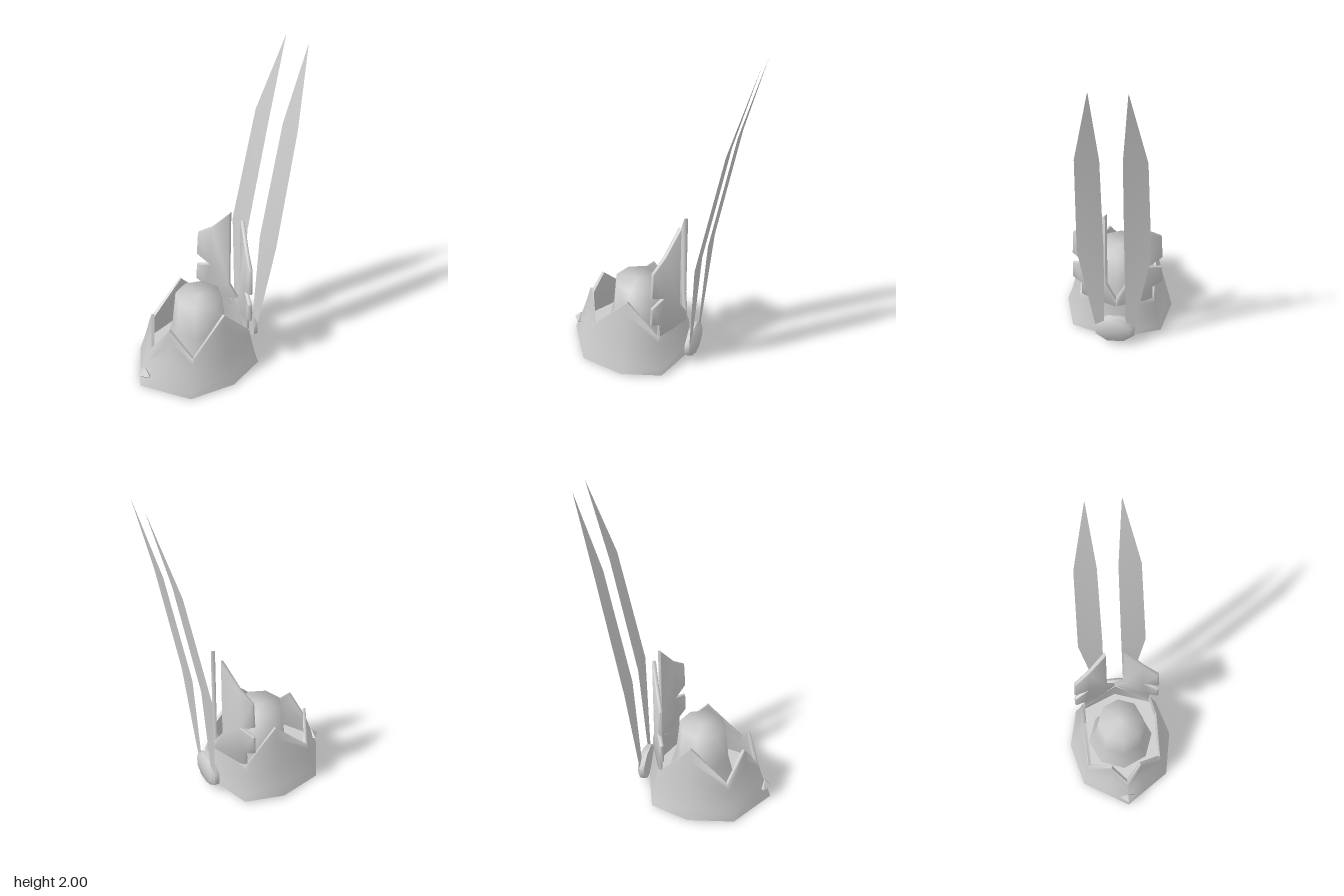
import * as THREE from 'three';
import { toCreasedNormals } from 'three/addons/utils/BufferGeometryUtils.js';

const material = new THREE.MeshStandardMaterial({ color: 0xcccccc, side: THREE.DoubleSide });
const CENTRE_Z = 0.12;

// Half-ring corners [x, z] from front to back, at rising heights
const LEVELS = [
  { y: 0.01, ring: [[0, 0.58], [0.29, 0.395], [0.355, 0.11], [0.29, -0.14], [0, -0.24]] },
  { y: 0.13, ring: [[0, 0.53], [0.265, 0.365], [0.315, 0.11], [0.26, -0.12], [0, -0.22]] },
  { y: 0.28, ring: [[0, 0.475], [0.24, 0.335], [0.285, 0.105], [0.235, -0.1], [0, -0.2]] },
  { y: 0.49, ring: [[0, 0.465], [0.225, 0.33], [0.24, 0.1], [0.225, -0.095], [0, -0.195]] },
];

// Crown points: position along the half ring and height of the rim there
const RIM = [[0, 0.265], [0.42, 0.43], [1, 0.265], [2, 0.49], [3, 0.27], [4, 0.33]];

function add(parent, name, geometry) {
  const mesh = new THREE.Mesh(geometry, material);
  mesh.name = name;
  parent.add(mesh);
  return mesh;
}

// Point on the skirt at ring position s (0..4) and height y
function skirtPoint(s, y) {
  let k = 0;
  while (k < LEVELS.length - 2 && y > LEVELS[k + 1].y) k++;
  const t = (y - LEVELS[k].y) / (LEVELS[k + 1].y - LEVELS[k].y);
  const i = Math.min(3, Math.floor(s)), f = s - i;
  const at = (ring, c) => THREE.MathUtils.lerp(ring[i][c], ring[i + 1][c], f);
  const [x, z] = [0, 1].map(c => THREE.MathUtils.lerp(at(LEVELS[k].ring, c), at(LEVELS[k + 1].ring, c), t));
  return [x, y, z];
}

// One column of the closed shell: underside, outer wall, rim, inner wall, floor
function skirtColumn(s, top, side) {
  const column = [[0, 0.01, CENTRE_Z]];
  const steps = 6;
  for (let j = 0; j <= steps; j++) {
    const p = skirtPoint(s, THREE.MathUtils.lerp(0.01, top, j / steps));
    if (j === 0) p[1] = (0.58 - p[2]) * 0.024;
    column.push(p);
  }
  for (let j = 0; j <= 3; j++) {
    const [x, y, z] = skirtPoint(s, THREE.MathUtils.lerp(top, 0.1, j / 3));
    column.push([x * 0.93, y, CENTRE_Z + (z - CENTRE_Z) * 0.94]);
  }
  column.push([0, 0.1, CENTRE_Z]);
  return column.map(([x, y, z]) => [x * side, y, z]);
}

function skirtGeometry() {
  const columns = [
    ...RIM.map(([s, h]) => skirtColumn(s, h, 1)),
    ...RIM.slice(1, -1).reverse().map(([s, h]) => skirtColumn(s, h, -1)),
  ];
  const rows = columns[0].length, index = [];
  columns.forEach((_, i) => {
    const a = i * rows, b = ((i + 1) % columns.length) * rows;
    for (let j = 0; j < rows - 1; j++) {
      if (j > 0) index.push(a + j, b + j, b + j + 1);
      if (j < rows - 2) index.push(a + j, b + j + 1, a + j + 1);
      else index.push(a + j, b + j, a + j + 1);
    }
  });
  const geometry = new THREE.BufferGeometry();
  geometry.setAttribute('position', new THREE.Float32BufferAttribute(columns.flat(2), 3));
  geometry.setIndex(index);
  return toCreasedNormals(geometry, 1.2);
}

// Tall notched plate standing on the back rim
function wingGeometry() {
  const angle = 0.436, stretch = 1 / Math.cos(angle);
  const outline = [
    [0, 0.27], [0.23, 0.25], [0.225, 0.36], [0.285, 0.39], [0.28, 0.51], [0.195, 0.54],
    [0.28, 0.59], [0.27, 0.76], [0.18, 0.83], [0.06, 0.975], [0.06, 0.43], [0, 0.33],
  ];
  const shape = new THREE.Shape(outline.map(([x, y]) => new THREE.Vector2(x * stretch, y)));
  const geometry = new THREE.ExtrudeGeometry(shape, {
    depth: 0.012, bevelEnabled: true, bevelSegments: 1, bevelSize: 0.005, bevelThickness: 0.006, bevelOffset: -0.005,
  });
  return toCreasedNormals(geometry.rotateY(-angle).translate(0, 0, -0.205), 0.9);
}

// Thin streamer, bent backward along its length: [inner x, outer x, y, z]
function ribbonGeometry() {
  const sections = [
    [0.07, 0.12, 0.13, -0.265], [0.06, 0.217, 0.8, -0.312],
    [0.06, 0.19, 1.54, -0.455], [0.094, 0.096, 2, -0.585],
  ];
  const positions = sections.flatMap(([a, b, y, z]) => [a, y, z, b, y, z]);
  const index = [];
  for (let i = 0; i < 3; i++) {
    const a = i * 2;
    index.push(a, a + 1, a + 3, a, a + 3, a + 2);
  }
  const geometry = new THREE.BufferGeometry();
  geometry.setAttribute('position', new THREE.Float32BufferAttribute(positions, 3));
  geometry.setIndex(index);
  geometry.computeVertexNormals();
  return geometry;
}

export function createModel() {
  const model = new THREE.Group();
  model.name = 'crownHeadpiece';

  add(model, 'crownSkirt', skirtGeometry());

  // Eight-sided centre post with a soft-shaded top
  const profile = [[0.222, 0.1], [0.172, 0.28], [0.148, 0.505], [0, 0.505]].map(p => new THREE.Vector2(...p));
  const post = add(model, 'centrePost', new THREE.LatheGeometry(profile, 8));
  post.position.z = CENTRE_Z;

  // Small diamond on the front
  const jewel = add(model, 'frontJewel', new THREE.OctahedronGeometry(1));
  jewel.scale.set(0.055, 0.045, 0.045);
  jewel.position.set(0, 0.085, 0.538);

  // Rear knot holding the streamers
  const knotProfile = [[0, -0.03], [1, -0.03], [1, 0], [0.75, 0.022], [0, 0.026]].map(p => new THREE.Vector2(...p));
  const knotShape = new THREE.LatheGeometry(knotProfile, 8).rotateY(Math.PI / 8).rotateX(-Math.PI / 2);
  const knot = add(model, 'rearKnot', toCreasedNormals(knotShape, 0.9));
  knot.scale.set(0.135, 0.108, 1);
  knot.position.set(0, 0.122, -0.267);

  // Mirrored wings and streamers
  const wing = wingGeometry(), ribbon = ribbonGeometry();
  for (const side of [1, -1]) {
    const label = side > 0 ? 'left' : 'right';
    add(model, label + 'Wing', wing).scale.x = side;
    add(model, label + 'Ribbon', ribbon).scale.x = side;
  }
  return model;
}
